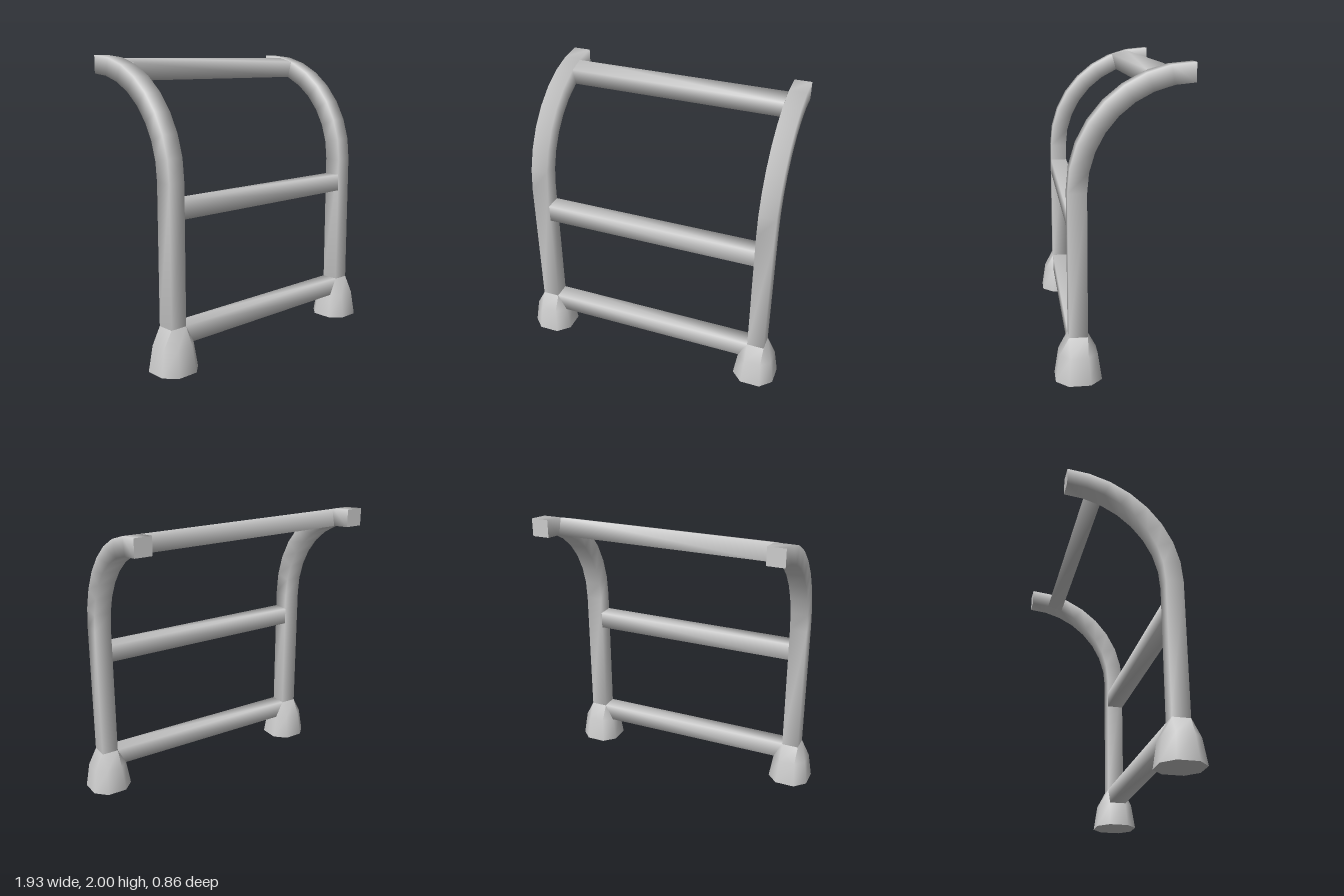
import * as THREE from 'three';

const HALF = 0.06;      // half thickness of the square bars
const POST_X = 0.815;
const POST_Z = 0.28;
const material = new THREE.MeshStandardMaterial({ color: 0xcccccc });

// Square with cut corners (h = half width, c = corner cut), counter-clockwise
function cutSquare(h, c) {
  const k = h - c;
  return [[h, -k], [h, k], [k, h], [-k, h], [-h, k], [-h, -k], [-k, -h], [k, -h]];
}
const square = [[HALF, -HALF], [HALF, HALF], [-HALF, HALF], [-HALF, -HALF]];

// Skin a list of rings (arrays of Vector3, counter-clockwise about the path); smooth sides, flat caps
function loft(rings, capStart, capEnd) {
  const n = rings[0].length;
  const positions = rings.flat().flatMap(p => p.toArray());
  const index = [];
  for (let i = 0; i < rings.length - 1; i++) {
    for (let j = 0; j < n; j++) {
      const a = i * n + j, b = i * n + (j + 1) % n;
      index.push(a, b, b + n, a, b + n, a + n);
    }
  }
  const cap = ring => {
    const base = positions.length / 3;
    ring.forEach(p => positions.push(p.x, p.y, p.z));
    for (let j = 1; j < n - 1; j++) index.push(base, base + j, base + j + 1);
  };
  if (capStart) cap([...rings[0]].reverse());
  if (capEnd) cap(rings[rings.length - 1]);
  const geometry = new THREE.BufferGeometry();
  geometry.setAttribute('position', new THREE.Float32BufferAttribute(positions, 3));
  geometry.setIndex(index);
  geometry.computeVertexNormals();
  return geometry;
}

// Upright that bends backwards through a quarter circle at the top
function postGeometry() {
  const radius = 0.715, bendY = 1.225, steps = 8;
  const ring = (y, z, t) => square.map(([u, v]) =>
    new THREE.Vector3(u, y - v * Math.sin(t), z - v * Math.cos(t)));
  const rings = [ring(0.29, POST_Z, 0)];
  for (let i = 0; i <= steps; i++) {
    const t = (i / steps) * Math.PI / 2;
    rings.push(ring(bendY + radius * Math.sin(t), POST_Z - radius + radius * Math.cos(t), t));
  }
  return loft(rings, false, true);
}

// Flared eight-sided foot that narrows to the square post
function footGeometry() {
  const levels = [[0, 0.148, 0.078], [0.175, 0.122, 0.064], [0.29, HALF, 0]];
  return loft(levels.map(([y, h, c]) =>
    cutSquare(h, c).map(([u, v]) => new THREE.Vector3(u, y, -v))), true, false);
}

// Square crossbar between the inner faces of the posts
function rungGeometry() {
  const end = POST_X - HALF;
  return loft([-end, end].map(x =>
    square.map(([u, v]) => new THREE.Vector3(x, u, v))), true, true);
}

export function createModel() {
  const model = new THREE.Group();
  model.name = 'ladder';
  const add = (name, geometry, x, y, z) => {
    const mesh = new THREE.Mesh(geometry, material);
    mesh.name = name;
    mesh.position.set(x, y, z);
    model.add(mesh);
    return mesh;
  };

  // Posts and feet on both sides
  const post = postGeometry(), foot = footGeometry();
  for (const [side, s] of [['left', 1], ['right', -1]]) {
    add(side + 'Post', post, s * POST_X, 0, 0);
    add(side + 'Foot', foot, s * POST_X, 0, POST_Z);
  }

  // Rungs; the top one is tilted to follow the bend
  const rung = rungGeometry();
  add('bottomRung', rung, 0, 0.233, POST_Z);
  add('middleRung', rung, 0, 1.05, POST_Z);
  add('topRung', rung, 0, 1.908, -0.23).rotation.x = THREE.MathUtils.degToRad(15);

  return model;
}
